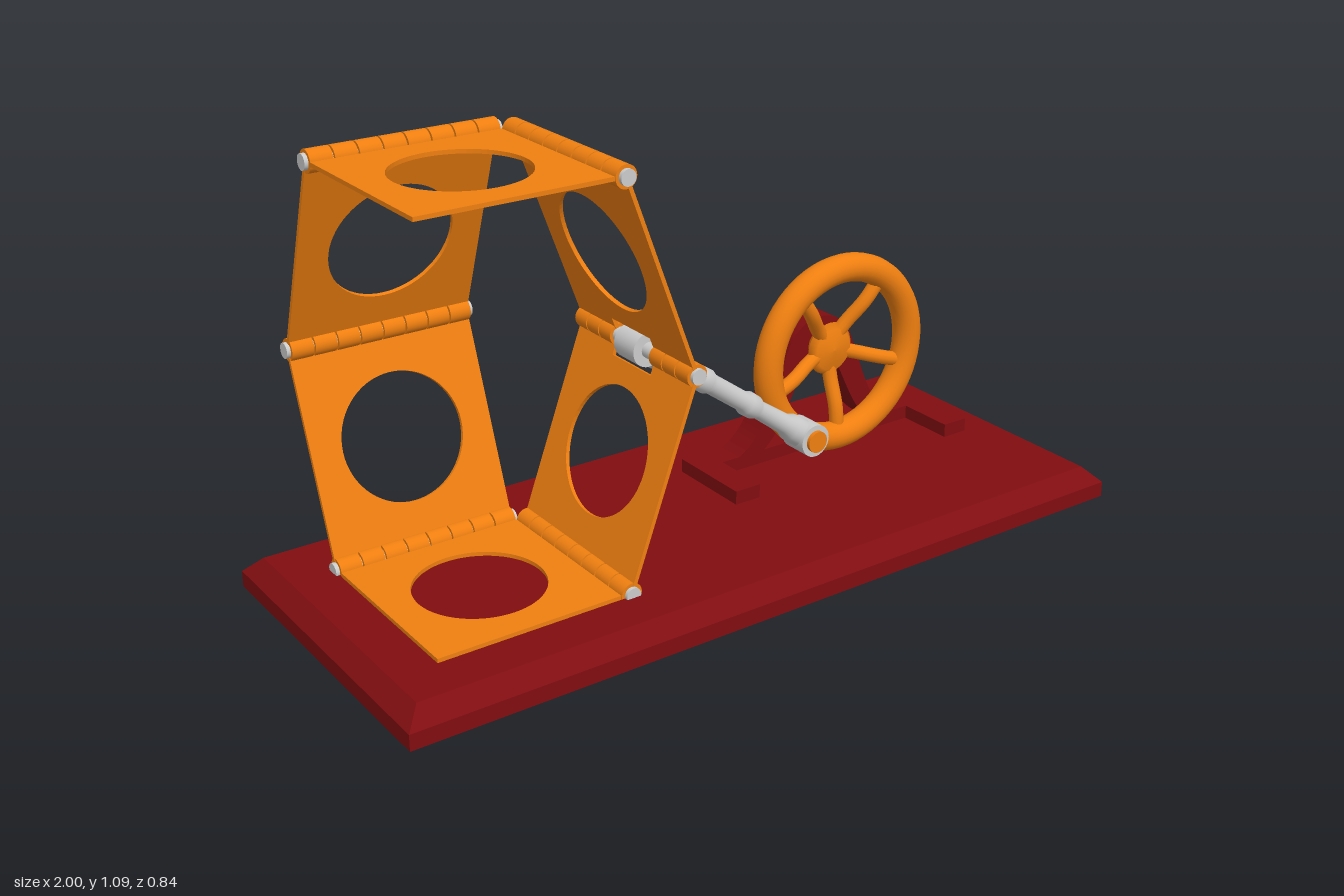
import * as THREE from 'three';

const mat = (color) => new THREE.MeshStandardMaterial({ color });
const ORANGE = mat(0xef7f10), RED = mat(0x800d10), GREY = mat(0xcccccc);
const X = new THREE.Vector3(1, 0, 0), Z = new THREE.Vector3(0, 0, 1);
const V = (x, y, z) => new THREE.Vector3(x, y, z);

function add(parent, name, geometry, material, x = 0, y = 0, z = 0) {
  const m = new THREE.Mesh(geometry, material);
  m.name = name;
  m.position.set(x, y, z);
  parent.add(m);
  return m;
}

// cylinder lying along an axis, x or z
function bar(radius, length, axis, sides = 28) {
  const g = new THREE.CylinderGeometry(radius, radius, length, sides);
  return axis === X ? g.rotateZ(-Math.PI / 2) : g.rotateX(Math.PI / 2);
}

// hinge: grey pin through a row of knuckles, with an optional gap in the middle
function hinge(parent, name, axis, center, gap = 0) {
  const g = new THREE.Group();
  g.name = name;
  g.position.copy(center);
  const half = 0.2325, perSide = gap ? 3 : 4, pitch = (half - gap) / perSide;
  add(g, 'hingePin', bar(0.019, 0.48, axis), GREY);
  for (const side of [-1, 1]) for (let i = 0; i < perSide; i++) {
    const k = add(g, 'knuckle', bar(0.027, pitch - 0.004, axis), ORANGE);
    k.position.copy(axis).multiplyScalar(side * (gap + pitch * (i + 0.5)));
  }
  parent.add(g);
}

// plate with a round hole spanning from a to b; notch cuts the edge at b
function panel(parent, name, axis, a, b, trimA, trimB, notch = 0) {
  const v = b.clone().sub(a), len = v.length(), w = 0.232;
  v.normalize();
  const lo = -len / 2 + trimA, hi = len / 2 - trimB;
  const s = new THREE.Shape();
  s.moveTo(-w, lo);
  s.lineTo(w, lo);
  s.lineTo(w, hi);
  if (notch) {
    s.lineTo(notch, hi);
    s.lineTo(notch, len / 2 - 0.05);
    s.lineTo(-notch, len / 2 - 0.05);
    s.lineTo(-notch, hi);
  }
  s.lineTo(-w, hi);
  s.closePath();
  const hole = new THREE.Path();
  hole.absarc(0, 0, 0.155, 0, Math.PI * 2, true);
  s.holes.push(hole);
  const geo = new THREE.ExtrudeGeometry(s, { depth: 0.01, bevelEnabled: false, curveSegments: 32 });
  geo.translate(0, 0, -0.005);
  const basis = new THREE.Matrix4().makeBasis(axis, v, axis.clone().cross(v));
  basis.setPosition(a.clone().add(b).multiplyScalar(0.5));
  add(parent, name, geo.applyMatrix4(basis), ORANGE);
}

function base(root) {
  add(root, 'baseSlab', new THREE.BoxGeometry(2, 0.04, 0.84), RED, 0, 0.02, 0);
  // sloped upper edge
  const g = new THREE.BoxGeometry(2, 0.04, 0.84), p = g.attributes.position;
  for (let i = 0; i < p.count; i++) if (p.getY(i) > 0) {
    p.setX(i, Math.sign(p.getX(i)) * 0.96);
    p.setZ(i, Math.sign(p.getZ(i)) * 0.38);
  }
  g.computeVertexNormals();
  add(root, 'baseTop', g, RED, 0, 0.06, 0);
}

function linkage(root) {
  const g = new THREE.Group();
  g.name = 'foldingLinkage';
  const low = 0.085, mid = 0.572, high = 1.06, cx = -0.62, cz = 0.04;
  for (const [y, n] of [[low, 'bottom'], [high, 'top']]) {
    // level plate
    panel(g, n + 'Plate', X, V(cx, y, cz + 0.23), V(cx, y, cz - 0.23), 0, 0);
    hinge(g, n + 'SideHinge', Z, V(-0.36, y, cz));
    hinge(g, n + 'BackHinge', X, V(cx, y, -0.218));
    // folding panels
    panel(g, n + 'SidePanel', Z, V(-0.36, y, cz), V(-0.18, mid, cz), 0.015, 0.015, 0.078);
    panel(g, n + 'BackPanel', X, V(cx, y, -0.218), V(cx, mid, -0.397), 0.015, 0.015);
  }
  hinge(g, 'middleSideHinge', Z, V(-0.18, mid, cz), 0.078);
  hinge(g, 'middleBackHinge', X, V(cx, mid, -0.397));
  root.add(g);
}

function rod(root) {
  const a = V(-0.18, 0.572, 0.04), b = V(0.32, 0.21, 0.04);
  const len = a.distanceTo(b);
  const g = new THREE.Group();
  g.name = 'connectingRod';
  g.position.copy(a);
  g.quaternion.setFromUnitVectors(V(0, 1, 0), b.clone().sub(a).normalize());
  // half of the turned outline, mirrored about the middle
  const half = [[0.02, 0.036], [0.065, 0.035], [0.09, 0.026], [0.19, 0.023], [0.205, 0.03],
    [0.235, 0.031], [0.25, 0.025]];
  const pts = [...half.map(([y, r]) => [r, y]), ...half.slice().reverse().map(([y, r]) => [r, len - y])];
  add(g, 'rodShaft', new THREE.LatheGeometry(pts.map(([r, y]) => new THREE.Vector2(r, y)), 28), GREY);
  add(g, 'upperEye', bar(0.042, 0.08, Z), GREY);
  add(g, 'lowerEye', bar(0.042, 0.08, Z), GREY, 0, len, 0);
  root.add(g);
  add(root, 'crankPin', bar(0.028, 0.13, Z), ORANGE, 0.32, 0.21, 0.025);
}

function wheel(root) {
  const g = new THREE.Group();
  g.name = 'flywheel';
  g.position.set(0.487, 0.37, -0.038);
  add(g, 'rim', new THREE.TorusGeometry(0.228, 0.037, 20, 64), ORANGE);
  // dished hub, set back from the rim
  const hub = [[0, -0.08], [0.036, -0.08], [0.045, -0.06], [0.07, -0.038], [0.055, -0.022], [0, -0.016]]
    .map(([r, y]) => new THREE.Vector2(r, y));
  add(g, 'hub', new THREE.LatheGeometry(hub, 32).rotateX(Math.PI / 2), ORANGE);
  for (let i = 0; i < 5; i++) {
    const path = new THREE.CatmullRomCurve3([V(0.02, 0, -0.045), V(0.08, 0, -0.032), V(0.15, 0, -0.008), V(0.22, 0, 0)]);
    const spoke = add(g, 'spoke', new THREE.TubeGeometry(path, 14, 0.019, 12), ORANGE);
    spoke.rotation.z = Math.PI * (0.3 + 0.4 * i);
  }
  add(g, 'axle', bar(0.036, 0.115, Z), ORANGE, 0, 0, -0.1);
  root.add(g);
}

function stand(root) {
  const g = new THREE.Group();
  g.name = 'wheelStand';
  g.position.x = 0.487;
  // foot: back bar with two forward legs
  add(g, 'footBar', new THREE.BoxGeometry(0.766, 0.037, 0.076), RED, 0, 0.097, -0.154);
  for (const s of [-1, 1])
    add(g, 'footLeg', new THREE.BoxGeometry(0.073, 0.037, 0.156), RED, s * 0.3465, 0.097, -0.038);
  // bell-shaped arch, open below
  const s = new THREE.Shape();
  s.moveTo(-0.3, 0.1);
  s.bezierCurveTo(-0.17, 0.13, -0.16, 0.25, -0.1, 0.38);
  s.bezierCurveTo(-0.06, 0.467, 0.06, 0.467, 0.1, 0.38);
  s.bezierCurveTo(0.16, 0.25, 0.17, 0.13, 0.3, 0.1);
  s.lineTo(0.2, 0.1);
  s.bezierCurveTo(0.13, 0.14, 0.11, 0.2, 0.065, 0.29);
  s.quadraticCurveTo(0, 0.32, -0.065, 0.29);
  s.bezierCurveTo(-0.11, 0.2, -0.13, 0.14, -0.2, 0.1);
  s.closePath();
  const arch = new THREE.ExtrudeGeometry(s, { depth: 0.074, bevelEnabled: false, curveSegments: 20 });
  add(g, 'arch', arch, RED, 0, 0, -0.19);
  root.add(g);
}

export function createModel() {
  const root = new THREE.Group();
  root.name = 'linkageMachine';
  base(root);
  linkage(root);
  rod(root);
  stand(root);
  wheel(root);
  return root;
}
